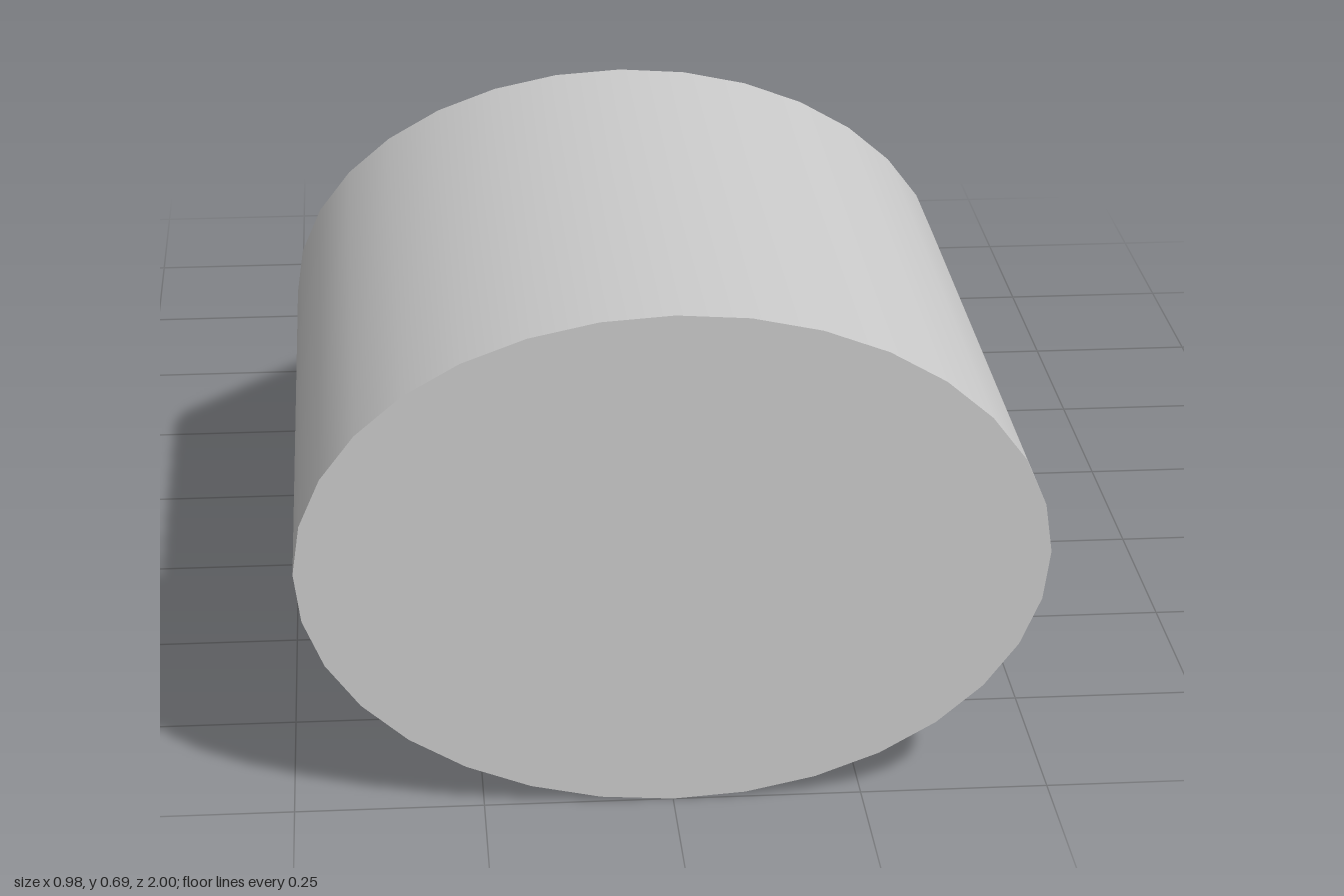
import * as THREE from 'three';
import { mergeVertices } from 'three/addons/utils/BufferGeometryUtils.js';

const SIDES = 32;
const RX = 0.492, RY = 0.345, CENTER_Y = 0.346; // oval cross-section
const FRONT = 1, SHOULDER = 0.01;
const TIP = new THREE.Vector3(0.03, 0.09, -1);

export function createModel() {
  const group = new THREE.Group();
  const material = new THREE.MeshStandardMaterial({ color: 0xcccccc });
  const add = (name, geometry) => {
    const mesh = new THREE.Mesh(geometry, material);
    mesh.name = name;
    group.add(mesh);
  };

  // Oval barrel
  const length = FRONT - SHOULDER;
  const barrel = new THREE.CylinderGeometry(1, 1, length, SIDES, 1, true);
  barrel.rotateX(Math.PI / 2).scale(RX, RY, 1);
  barrel.translate(0, CENTER_Y, SHOULDER + length / 2);
  add('barrel', barrel);

  // Flat front cap
  const cap = new THREE.CircleGeometry(1, SIDES);
  cap.scale(RX, RY, 1).translate(0, CENTER_Y, FRONT);
  add('frontCap', cap);

  // Leaning cone: sheared so its point sits low and slightly off centre
  const depth = SHOULDER - TIP.z;
  let cone = new THREE.ConeGeometry(1, depth, SIDES, 1, true);
  cone.rotateX(-Math.PI / 2).scale(RX, RY, 1);
  cone.translate(0, CENTER_Y, SHOULDER - depth / 2);
  const pos = cone.attributes.position;
  for (let i = 0; i < pos.count; i++) {
    const t = (SHOULDER - pos.getZ(i)) / depth;
    pos.setX(i, pos.getX(i) + t * TIP.x);
    pos.setY(i, pos.getY(i) + t * (TIP.y - CENTER_Y));
  }
  // One shared point with smooth normals
  cone.deleteAttribute('normal');
  cone.deleteAttribute('uv');
  cone = mergeVertices(cone);
  cone.computeVertexNormals();
  add('pointedEnd', cone);

  return group;
}
